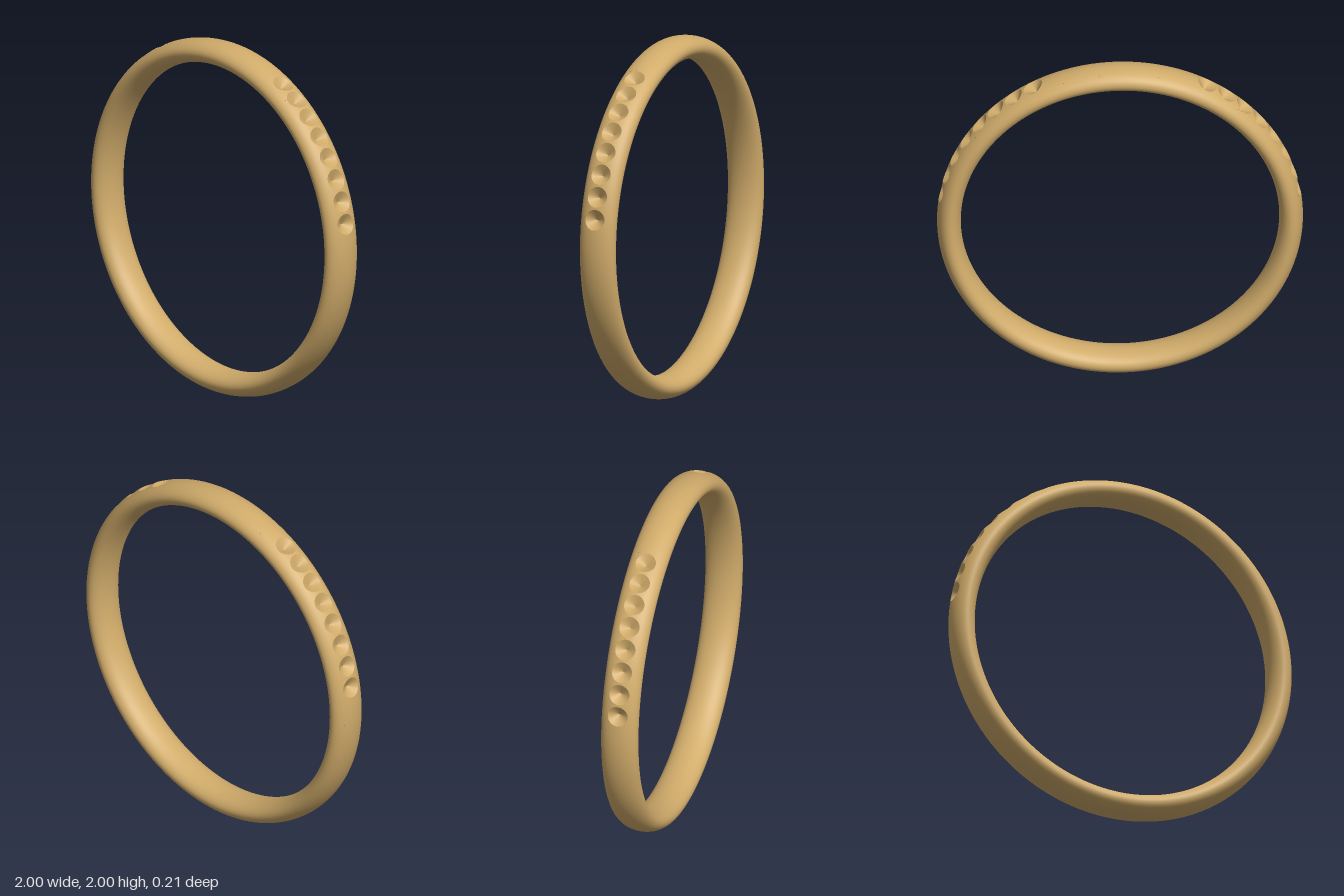
import * as THREE from 'three';
import { ParametricGeometry } from 'three/addons/geometries/ParametricGeometry.js';

const RAD = Math.PI / 180;
const HALF_WIDTH = 0.105;      // band half width along z
const HALF_THICK = 0.065;      // band half thickness
const MID_RADIUS = 1 - HALF_THICK;
const STEP = 7.25 * RAD;       // spacing of the dimples
const FIRST = 10.7 * RAD;      // lowest dimple, measured up from the side
const COUNT = 8;
const CELL = STEP / 2;         // half size of the square cell around a dimple
const DIMPLE_RADIUS = 0.057;
const DIMPLE_DEPTH = 0.045;

// Point on a circle about the ring's axis
const polar = (r, theta, z, target) =>
  target.set(r * Math.cos(theta), 1 + r * Math.sin(theta), z);

// Point on the domed outer face
const onOuter = (theta, z, target) =>
  polar(MID_RADIUS + HALF_THICK * Math.sqrt(1 - (z / HALF_WIDTH) ** 2), theta, z, target);

export function createModel() {
  const group = new THREE.Group();
  const gold = new THREE.MeshStandardMaterial({ color: 0xd0ab6a });

  const add = (name, fn, nu, nv) => {
    const mesh = new THREE.Mesh(new ParametricGeometry(fn, nu, nv), gold);
    mesh.name = name;
    group.add(mesh);
  };

  // Sides and rounded inside of the band, open along the middle of the outer face
  const edge = Math.asin(CELL / HALF_WIDTH);
  add('bandBody', (u, v, p) => {
    const phi = edge + v * 2 * (Math.PI - edge);
    polar(MID_RADIUS + HALF_THICK * Math.cos(phi), u * 2 * Math.PI, HALF_WIDTH * Math.sin(phi), p);
  }, 360, 40);

  // Plain stretches of the outer face: across the top and around the bottom
  const low = FIRST - CELL;
  const high = low + COUNT * STEP;
  const addStrip = (name, from, to, segments) => add(name, (u, v, p) =>
    onOuter(from + u * (to - from), CELL * (2 * v - 1), p), segments, 12);
  addStrip('topOuterFace', high, Math.PI - high, 60);
  addStrip('bottomOuterFace', Math.PI - low, 2 * Math.PI + low, 200);

  // Outer face around a dimple, from its square cell in to the round rim
  const addDimple = (theta) => {
    add('dimpleSurround', (u, v, p) => {
      const a = u * 2 * Math.PI, c = Math.cos(a), s = Math.sin(a);
      const square = CELL / Math.max(Math.abs(c), Math.abs(s));
      const r = THREE.MathUtils.lerp(square, DIMPLE_RADIUS, v);
      onOuter(theta + r * c, r * s, p);
    }, 48, 3);

    // Conical drilled hollow
    const apex = polar(1 - DIMPLE_DEPTH, theta, 0, new THREE.Vector3());
    add('dimple', (u, v, p) => {
      const a = u * 2 * Math.PI;
      onOuter(theta + DIMPLE_RADIUS * Math.cos(a), DIMPLE_RADIUS * Math.sin(a), p);
      p.lerp(apex, v * 0.995);
    }, 48, 4);
  };

  // Mirrored rows on both shoulders
  for (let i = 0; i < COUNT; i++) {
    const theta = FIRST + i * STEP;
    addDimple(theta);
    addDimple(Math.PI - theta);
  }

  return group;
}
